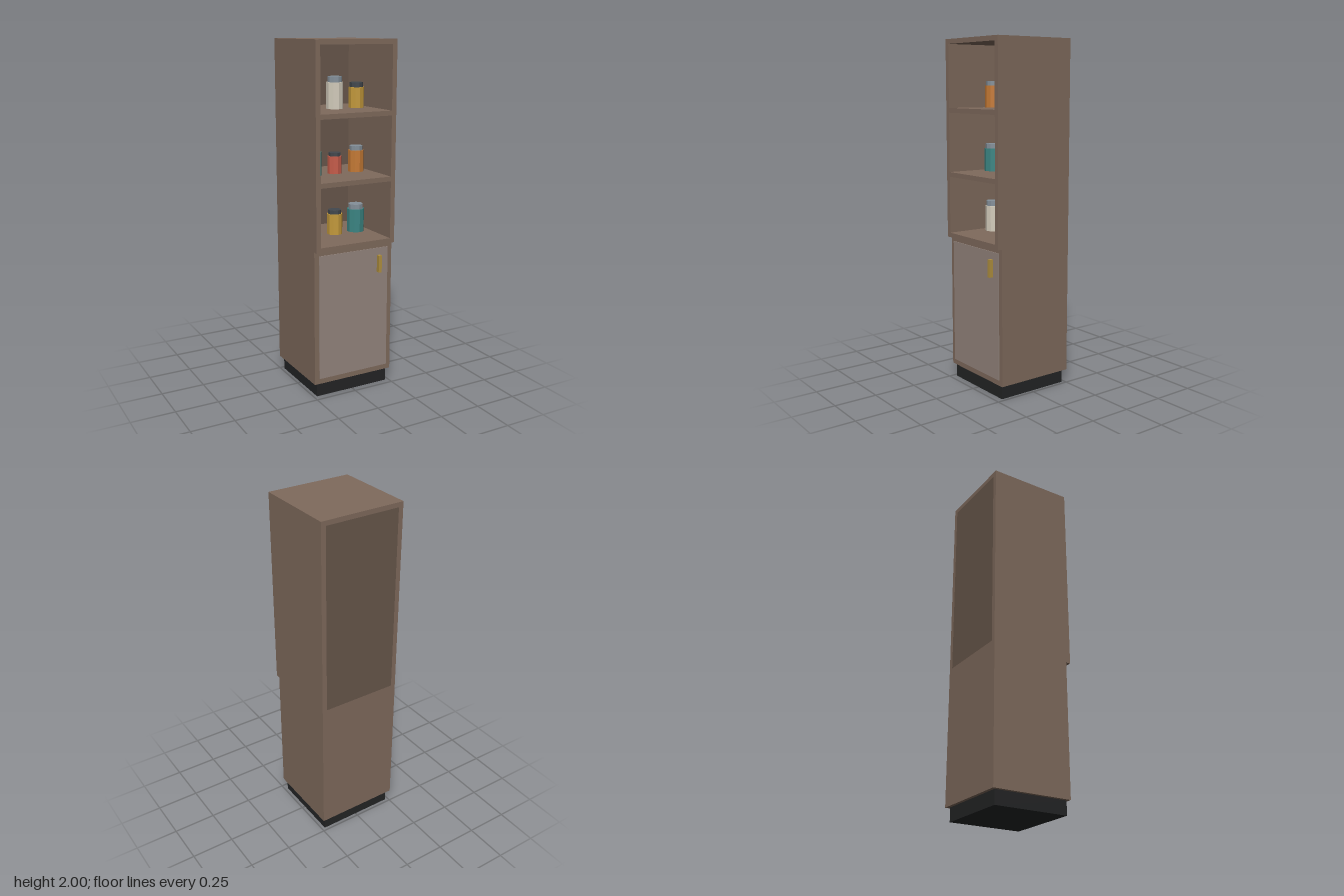
import * as THREE from 'three';

const mat = (color, flatShading = false) => new THREE.MeshStandardMaterial({ color, flatShading });
const wood = mat(0x7f6a5c);
const backWood = mat(0x68574b);
const doorPaint = mat(0x94857d);
const black = mat(0x232425);
const brass = mat(0xb0903f);
const steel = mat(0x84909a, true);
const darkLid = mat(0x42484e, true);
const glaze = {
  orange: mat(0xc67a35, true),
  cream: mat(0xd2cbbb, true),
  yellow: mat(0xc49a3c, true),
  teal: mat(0x3b8583, true),
  red: mat(0xc75c4a, true),
};

// Box given by its limits on each axis
function slab(name, material, [x0, x1], [y0, y1], [z0, z1]) {
  const mesh = new THREE.Mesh(new THREE.BoxGeometry(x1 - x0, y1 - y0, z1 - z0), material);
  mesh.name = name;
  mesh.position.set((x0 + x1) / 2, (y0 + y1) / 2, (z0 + z1) / 2);
  return mesh;
}

// Faceted jar with a narrower lid, standing on its origin
function jar(color, halfWidth, bodyHeight, totalHeight, lidMaterial) {
  const group = new THREE.Group();
  group.name = 'jar';
  const r = halfWidth / 0.95;
  const body = new THREE.Mesh(new THREE.CylinderGeometry(r, r, bodyHeight, 10), glaze[color]);
  body.name = 'jarBody';
  body.position.y = bodyHeight / 2;
  const lidHeight = totalHeight - bodyHeight;
  const lid = new THREE.Mesh(new THREE.CylinderGeometry(r * 0.86, r * 0.86, lidHeight, 10), lidMaterial);
  lid.name = 'jarLid';
  lid.position.y = bodyHeight + lidHeight / 2;
  group.add(body, lid);
  return group;
}

export function createModel() {
  const model = new THREE.Group();
  model.name = 'jarCabinet';
  const W = 0.25, T = 0.028, inner = W - T;
  const depth = [-0.25, 0.25];

  // Plinth and closed lower cupboard
  model.add(slab('plinth', black, [-0.23, 0.23], [0, 0.08], [-0.23, 0.21]));
  model.add(slab('lowerCupboard', wood, [-W, W], [0.08, 0.863], [-0.25, 0.223]));
  model.add(slab('door', doorPaint, [-inner, inner], [0.112, 0.837], [0.215, 0.228]));
  model.add(slab('doorHandle', brass, [0.15, 0.17], [0.695, 0.795], [0.226, 0.25]));

  // Open upper case: sides, top, floor and back
  for (const s of [-1, 1]) {
    const xs = s < 0 ? [-W, -inner] : [inner, W];
    model.add(slab(s < 0 ? 'rightSide' : 'leftSide', wood, xs, [0.863, 2], depth));
  }
  model.add(slab('topBoard', wood, [-inner, inner], [1.973, 2], depth));
  model.add(slab('caseFloor', wood, [-inner, inner], [0.863, 0.89], depth));
  model.add(slab('backPanel', backWood, [-inner, inner], [0.89, 1.973], [-0.25, -0.23]));

  // Shelves
  for (const top of [1.247, 1.615]) {
    model.add(slab('shelf', wood, [-inner, inner], [top - 0.027, top], [-0.23, 0.25]));
  }

  // Three jars per level: colour, half width, body height, full height, lid
  const rows = [
    [0.89, [['cream', 0.044, 0.15, 0.18, steel], ['yellow', 0.043, 0.12, 0.143, darkLid], ['teal', 0.048, 0.135, 0.164, steel]]],
    [1.247, [['teal', 0.048, 0.132, 0.16, steel], ['red', 0.039, 0.1, 0.12, darkLid], ['orange', 0.043, 0.124, 0.15, steel]]],
    [1.615, [['orange', 0.042, 0.127, 0.153, steel], ['cream', 0.046, 0.148, 0.18, steel], ['yellow', 0.042, 0.116, 0.143, darkLid]]],
  ];
  for (const [y, jars] of rows) {
    jars.forEach((spec, i) => {
      const j = jar(...spec);
      j.position.set((i - 1) * 0.14, y, 0);
      model.add(j);
    });
  }
  return model;
}
